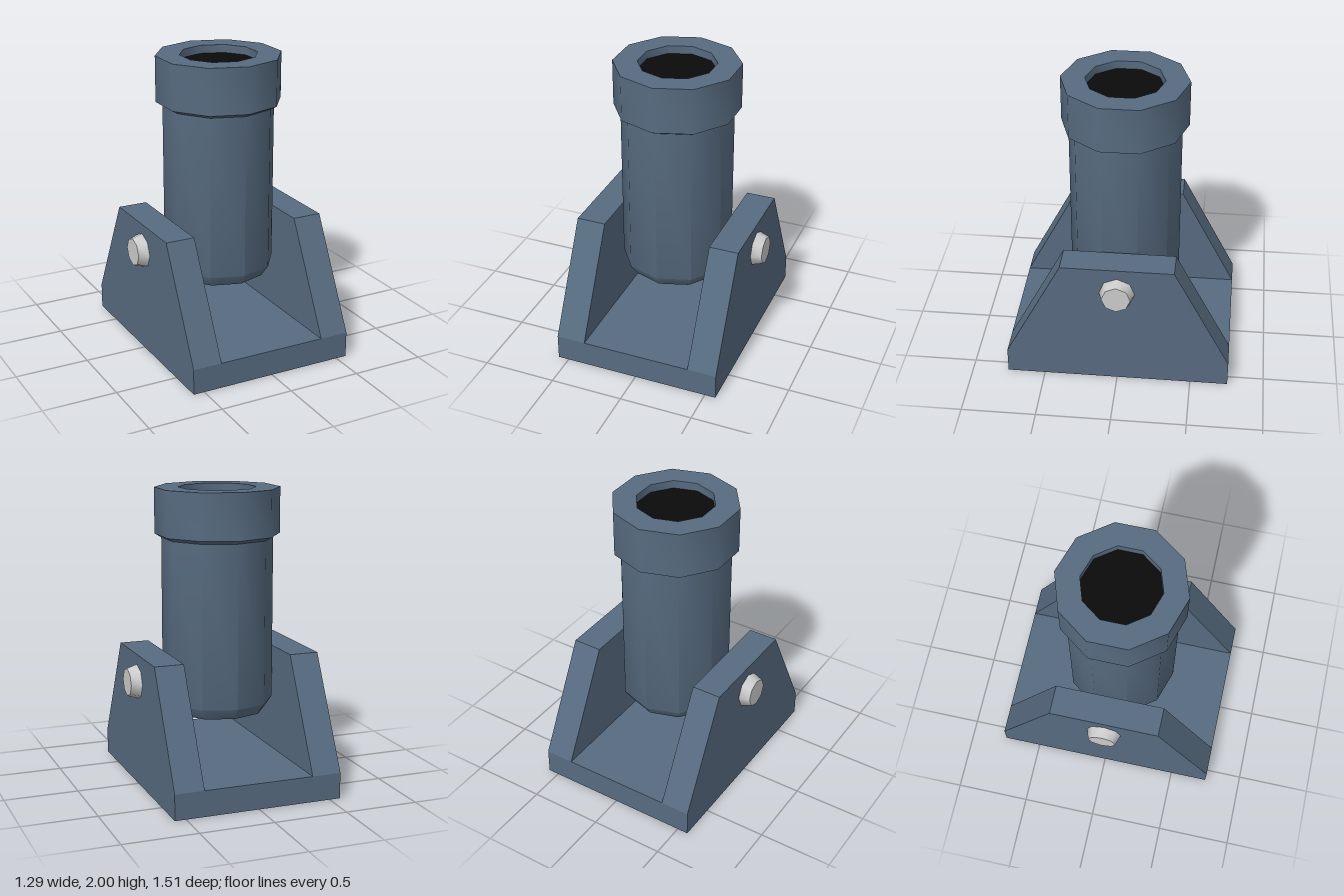
import * as THREE from 'three';
import { toCreasedNormals } from 'three/addons/utils/BufferGeometryUtils.js';

const OUT = 0.575, IN = 0.375;            // outer and inner faces of the side plates
const BASE = 0.175, TOP = 0.905;          // height of the base and of the plates
const FOOT = 0.755, CREST = 0.375;        // half depth at the foot and at the crest

const steel = new THREE.MeshStandardMaterial({ color: 0x576b80, side: THREE.DoubleSide });
const grey = new THREE.MeshStandardMaterial({ color: 0xcccccc });
const black = new THREE.MeshStandardMaterial({ color: 0x0a0a0a });

function add(parent, name, geometry, material) {
  const mesh = new THREE.Mesh(geometry, material);
  mesh.name = name;
  parent.add(mesh);
  return mesh;
}

// Flat panels, each a convex loop of corners
function panels(loops) {
  const pos = [];
  for (const p of loops) {
    for (let i = 1; i < p.length - 1; i++) pos.push(...p[0], ...p[i], ...p[i + 1]);
  }
  const geo = new THREE.BufferGeometry();
  geo.setAttribute('position', new THREE.Float32BufferAttribute(pos, 3));
  geo.computeVertexNormals();
  return geo;
}

export function createModel() {
  const model = new THREE.Group();
  model.name = 'mortar';

  // Base tray, open underneath
  add(model, 'base', panels([
    [[-OUT, 0, FOOT], [OUT, 0, FOOT], [OUT, BASE, FOOT], [-OUT, BASE, FOOT]],
    [[OUT, 0, -FOOT], [-OUT, 0, -FOOT], [-OUT, BASE, -FOOT], [OUT, BASE, -FOOT]],
    [[-IN, BASE, FOOT], [IN, BASE, FOOT], [IN, BASE, -FOOT], [-IN, BASE, -FOOT]],
  ]), steel);

  // Hollow side plate: outer wall, inner wall, crest, front and back slopes
  const plate = panels([
    [[OUT, 0, FOOT], [OUT, 0, -FOOT], [OUT, BASE, -FOOT],
      [OUT, TOP, -CREST], [OUT, TOP, CREST], [OUT, BASE, FOOT]],
    [[IN, BASE, -FOOT], [IN, BASE, FOOT], [IN, TOP, CREST], [IN, TOP, -CREST]],
    [[IN, TOP, CREST], [OUT, TOP, CREST], [OUT, TOP, -CREST], [IN, TOP, -CREST]],
    [[IN, BASE, FOOT], [OUT, BASE, FOOT], [OUT, TOP, CREST], [IN, TOP, CREST]],
    [[OUT, BASE, -FOOT], [IN, BASE, -FOOT], [IN, TOP, -CREST], [OUT, TOP, -CREST]],
  ]);

  // Tapered eight-sided pivot pin
  const pin = toCreasedNormals(
    new THREE.CylinderGeometry(0.095, 0.118, 0.07, 8)
      .rotateZ(-Math.PI / 2).translate(OUT + 0.035, 0.72, 0), 0.85);

  // Both sides, the right one turned half a revolution
  for (const [side, turn] of [['left', 0], ['right', Math.PI]]) {
    const group = new THREE.Group();
    group.name = side + 'Side';
    group.rotation.y = turn;
    add(group, side + 'Plate', plate, steel);
    add(group, side + 'Pin', pin, grey);
    model.add(group);
  }

  // Ten-sided barrel with a collar and a shallow bore
  const profile = [
    [0, 0.485], [0.325, 0.485], [0.375, 0.56], [0.375, 1.665], [0.42, 1.69],
    [0.42, 2], [0.26, 2], [0.26, 1.945],
  ].map(([r, y]) => new THREE.Vector2(r, y));
  add(model, 'barrel', toCreasedNormals(new THREE.LatheGeometry(profile, 10), 0.72), steel);

  // Dark floor of the bore
  add(model, 'bore', new THREE.CircleGeometry(0.26, 10, Math.PI / 2)
    .rotateX(-Math.PI / 2).translate(0, 1.945, 0), black);

  return model;
}
